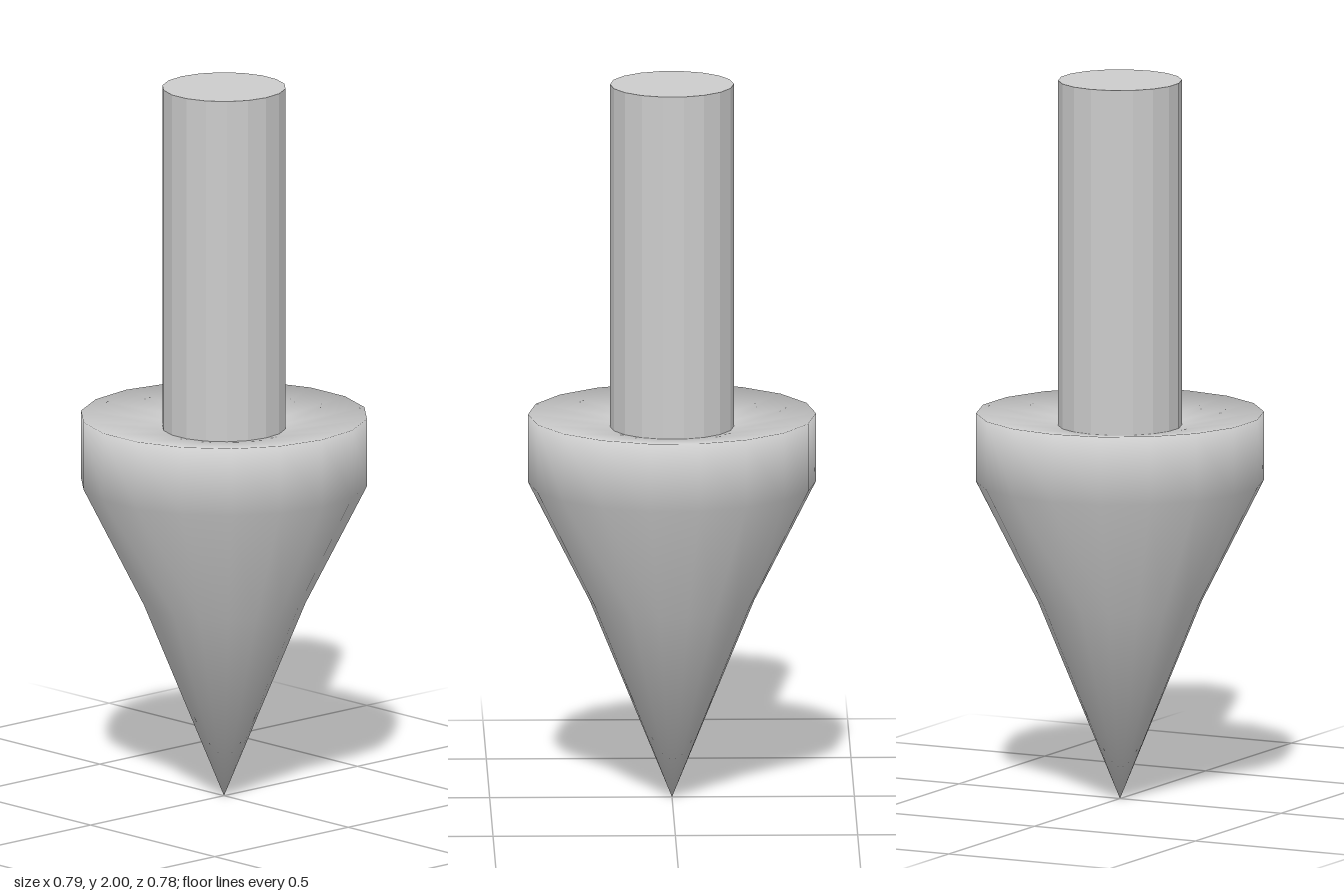
import * as THREE from 'three';
import { mergeVertices } from 'three/addons/utils/BufferGeometryUtils.js';

const SIDES = 18;

export function createModel() {
  const model = new THREE.Group();
  model.name = 'plumbPoint';

  // Pointed head: slightly hollow cone, short upright band, dished top
  const profile = [
    [0, 0], [0.225, 0.55], [0.395, 0.885], [0.395, 1.075], [0.17, 1.04], [0.165, 0.95],
  ].map(([r, y]) => new THREE.Vector2(r, y));
  let headGeometry = new THREE.LatheGeometry(profile, SIDES, Math.PI / 2);
  // Weld the seam and tip so that normals run smoothly over every edge
  headGeometry.deleteAttribute('normal');
  headGeometry.deleteAttribute('uv');
  headGeometry = mergeVertices(headGeometry, 1e-4);
  headGeometry.computeVertexNormals();
  const head = new THREE.Mesh(headGeometry,
    new THREE.MeshStandardMaterial({ color: 0xcccccc }));
  head.name = 'pointedHead';
  model.add(head);

  // Faceted shaft set into the head
  const bottom = 0.95, top = 2;
  const shaft = new THREE.Mesh(
    new THREE.CylinderGeometry(0.17, 0.17, top - bottom, SIDES, 1, false, Math.PI / 2),
    new THREE.MeshStandardMaterial({ color: 0xcccccc, flatShading: true }));
  shaft.position.y = (top + bottom) / 2;
  shaft.name = 'shaft';
  model.add(shaft);

  return model;
}
